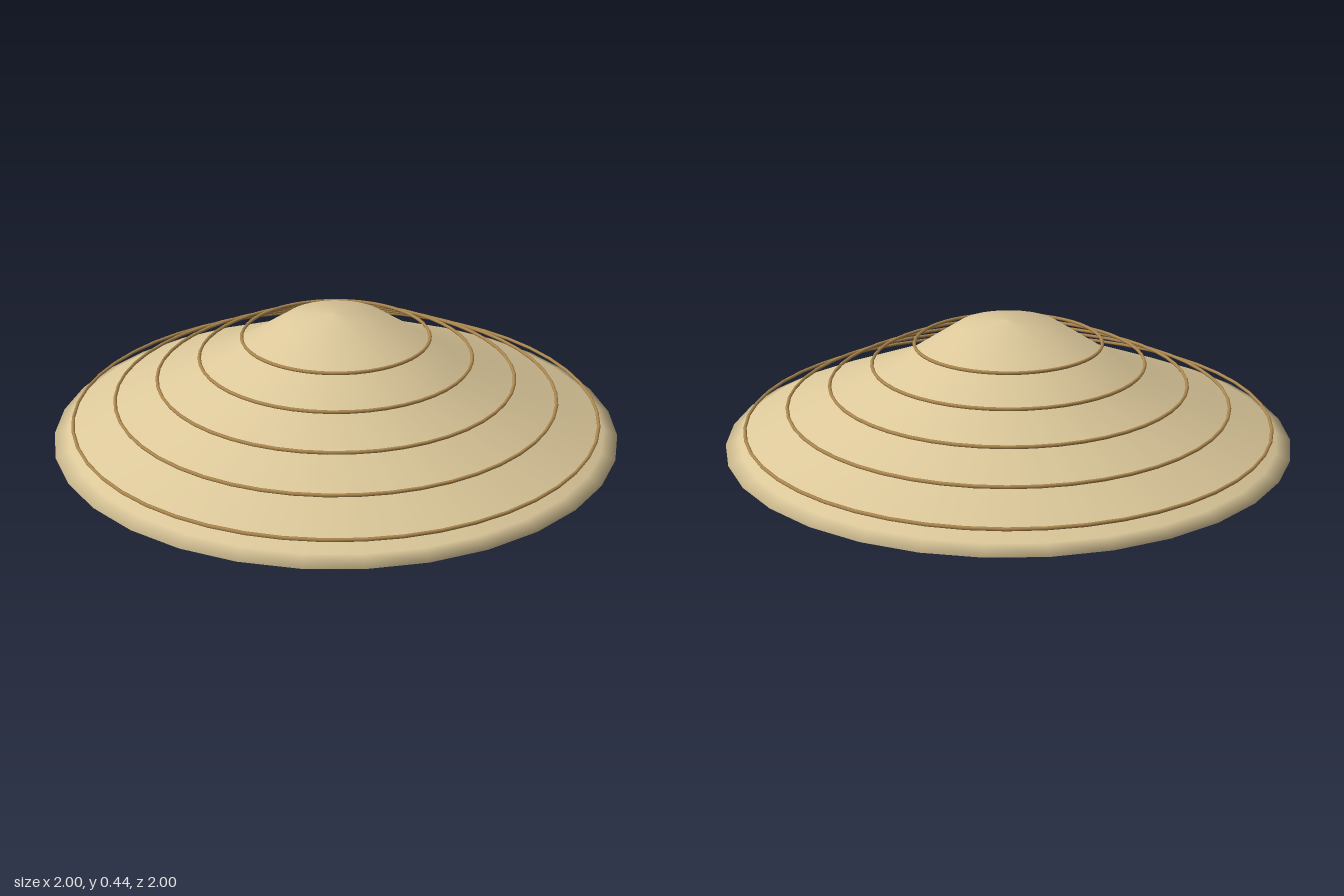
import * as THREE from 'three';

const material = (name, color) => {
  const m = new THREE.MeshStandardMaterial({ color });
  m.name = name;
  return m;
};

export function createModel() {
  const straw = material('straw', 0xdcc89a);
  const bamboo = material('bamboo', 0xb08a50);
  const cloth = material('red cloth', 0xc8585f);
  const group = new THREE.Group();
  group.name = 'conicalHat';

  const add = (name, geometry, mat, y = 0) => {
    const mesh = new THREE.Mesh(geometry, mat);
    mesh.name = name;
    mesh.position.y = y;
    group.add(mesh);
  };

  // Hat shell: up the inside, round the lip and over the outside
  const profile = [
    [0, 0.42], [0.18, 0.40], [0.41, 0.24], [0.90, 0.035],
    [0.95, 0], [1, 0.02], [0.95, 0.042],
    [0.42, 0.26], [0.18, 0.42], [0, 0.44],
  ].map(([r, y]) => new THREE.Vector2(r, y));
  add('hatShell', new THREE.LatheGeometry(profile, 32), straw);

  // Thin hoops stepping up the cone
  for (let i = 0; i < 5; i++) {
    const hoop = new THREE.TorusGeometry(0.93 - i * 0.15, 0.006, 6, 48).rotateX(Math.PI / 2);
    add('hoop' + (i + 1), hoop, bamboo, 0.08 + i * 0.07);
  }

  // Padded head band in four arcs with small gaps between them
  const gap = 0.04;
  for (let i = 0; i < 4; i++) {
    const arc = new THREE.TorusGeometry(0.3, 0.021, 10, 12, Math.PI / 2 - gap)
      .rotateX(Math.PI / 2)
      .rotateY(Math.PI / 4 + gap / 2 + i * Math.PI / 2 + Math.PI / 2 - gap);
    add('headBand' + (i + 1), arc, cloth, 0.27);
    // Rounded arc ends
    for (const end of [0, 1]) {
      const a = Math.PI / 4 + gap / 2 + i * Math.PI / 2 + end * (Math.PI / 2 - gap);
      const tip = new THREE.SphereGeometry(0.021, 10, 8).scale(0.8, 0.8, 0.8)
        .translate(0.3 * Math.cos(a), 0, -0.3 * Math.sin(a));
      add('headBandTip', tip, cloth, 0.27);
    }
  }
  return group;
}
